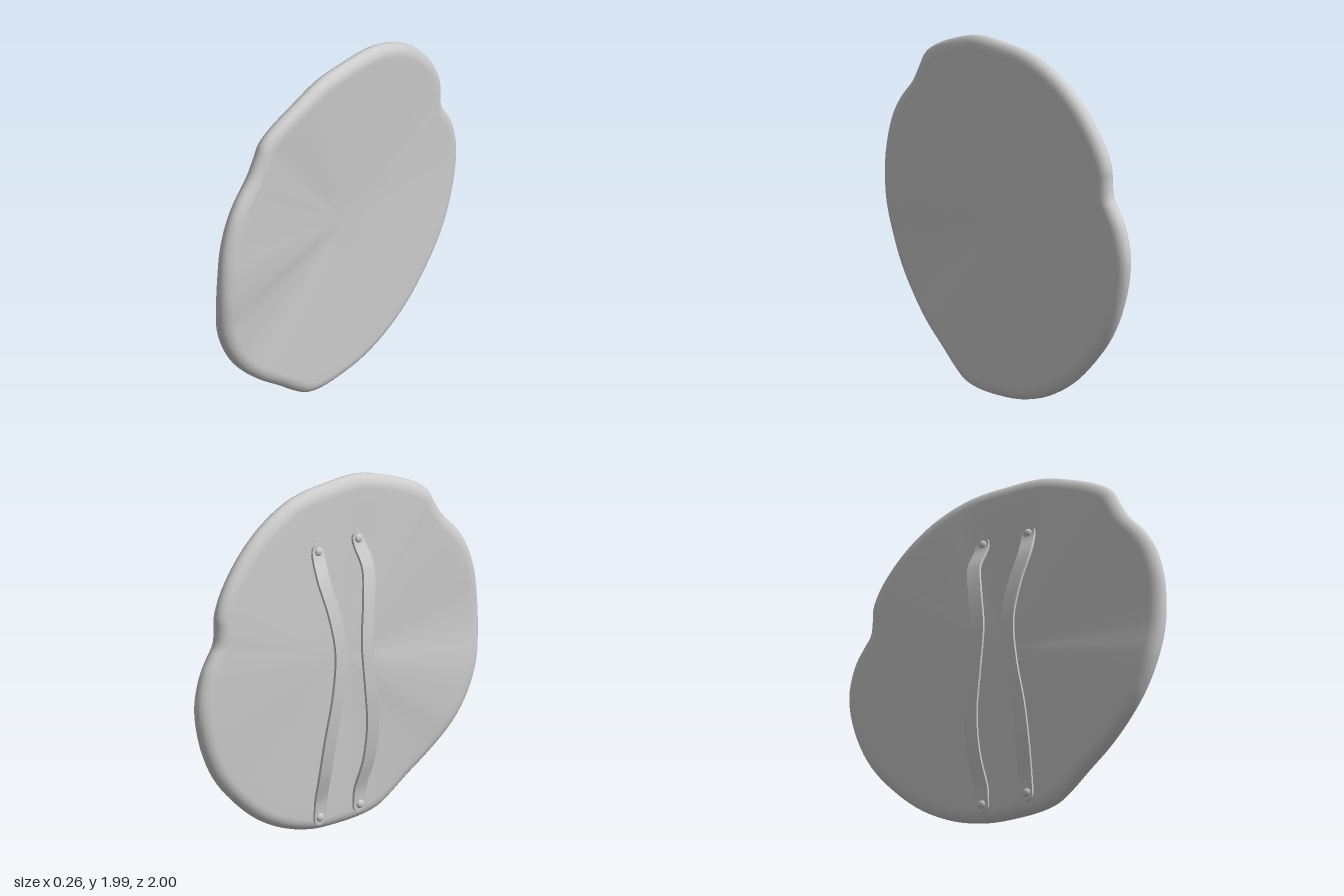
import * as THREE from 'three';

const material = new THREE.MeshStandardMaterial({ color: 0xcccccc });

// Rim centre line as x, y, z: an irregular, slightly warped circle
const RIM = [
  [.08, 1.995, 0], [.08, 1.99, .2], [.072, 1.93, .4], [.053, 1.85, .58], [.043, 1.79, .66], [.041, 1.72, .70],
  [.038, 1.62, .76], [.034, 1.51, .86], [.032, 1.4, .93], [.03, 1.25, .98], [.03, 1.1, 1], [.02, .9, 1],
  [0, .72, .97], [-.005, .55, .9], [0, .41, .8], [.02, .28, .66], [.037, .165, .5], [.046, .09, .4],
  [.052, .035, .31], [.055, .01, .2], [.055, .008, 0], [.052, .022, -.15], [.05, .08, -.35], [.048, .19, -.55],
  [.045, .34, -.72], [.04, .51, -.86], [.034, .7, -.95], [.03, .9, -.995], [.03, 1.02, -.99], [.031, 1.15, -.95],
  [.033, 1.23, -.9], [.035, 1.29, -.862], [.036, 1.38, -.85], [.038, 1.45, -.848], [.042, 1.55, -.81],
  [.05, 1.68, -.72], [.058, 1.8, -.6], [.067, 1.9, -.45], [.077, 1.975, -.25],
].map(p => new THREE.Vector3(...p));
const CENTRE = new THREE.Vector3(.04, 1, 0);
const HALF = .05;

// Disc: rings running from the front centre, around the rounded rim, to the back centre
function discGeometry() {
  const n = 156;
  const rim = new THREE.CatmullRomCurve3(RIM, true).getPoints(n).slice(0, n);
  const rings = [[.3, HALF], [.6, HALF], [.85, HALF]];
  for (let k = 0; k <= 12; k++) {
    const a = Math.PI * (k / 12 - .5);
    rings.push([1 - .07 * (1 - Math.cos(a)), -HALF * Math.sin(a)]);
  }
  rings.push([.85, -HALF], [.6, -HALF], [.3, -HALF]);

  const pos = [], index = [];
  const v = new THREE.Vector3();
  for (const [s, offset] of rings) {
    for (const p of rim) {
      v.lerpVectors(CENTRE, p, s);
      pos.push(v.x + offset, v.y, v.z);
    }
  }
  const front = rings.length * n, back = front + 1, last = (rings.length - 1) * n;
  pos.push(CENTRE.x + HALF, CENTRE.y, CENTRE.z, CENTRE.x - HALF, CENTRE.y, CENTRE.z);
  for (let i = 0; i < n; i++) {
    const j = (i + 1) % n;
    index.push(front, i, j, back, last + j, last + i);
    for (let r = 0; r < rings.length - 1; r++) {
      const a = r * n, b = a + n;
      index.push(a + i, b + i, b + j, a + i, b + j, a + j);
    }
  }
  const g = new THREE.BufferGeometry();
  g.setAttribute('position', new THREE.Float32BufferAttribute(pos, 3));
  g.setIndex(index);
  g.computeVertexNormals();
  return g;
}

// Strap: a thin box bent along a bowed path, with rounded ends
function strapGeometry(side) {
  const path = new THREE.CatmullRomCurve3([
    [0, .06, .14], [-.003, .12, .14], [-.012, .2, .14], [-.065, .38, .155], [-.105, .6, .15],
    [-.127, .85, .115], [-.125, 1.1, .095], [-.1, 1.32, .125], [-.055, 1.5, .158], [-.002, 1.61, .148],
    [.01, 1.65, .145], [.013, 1.695, .145],
  ].map(([x, y, z]) => new THREE.Vector3(x, y, z * side)));
  const length = path.getLength(), radius = .04;
  const g = new THREE.BoxGeometry(.016, 1, 1, 1, 72, 1);
  const pos = g.attributes.position;
  for (let i = 0; i < pos.count; i++) {
    const t = .5 - .5 * Math.cos(Math.PI * (pos.getY(i) + .5));
    const c = path.getPointAt(t), d = path.getTangentAt(t);
    const e = Math.max(0, 1 - Math.min(t, 1 - t) * length / radius);
    const width = 2 * radius * Math.sqrt(Math.max(.02, 1 - e * e));
    const l = Math.hypot(d.x, d.y), x = pos.getX(i);
    pos.setXYZ(i, c.x + x * d.y / l, c.y - x * d.x / l, c.z + pos.getZ(i) * width);
  }
  g.computeVertexNormals();
  return g;
}

export function createModel() {
  const model = new THREE.Group();
  model.name = 'shield';
  const add = (name, geometry) => {
    const mesh = new THREE.Mesh(geometry, material);
    mesh.name = name;
    model.add(mesh);
    return mesh;
  };

  add('disc', discGeometry());

  // Two straps on the inner face, each held by a domed rivet at both ends
  for (const side of [1, -1]) {
    add('strap', strapGeometry(side));
    for (const [x, y] of [[.004, 1.652], [-.008, .105]]) {
      const rivet = add('rivet', new THREE.SphereGeometry(.025, 20, 14));
      rivet.scale.x = .75;
      rivet.position.set(x, y, .143 * side);
    }
  }
  return model;
}
